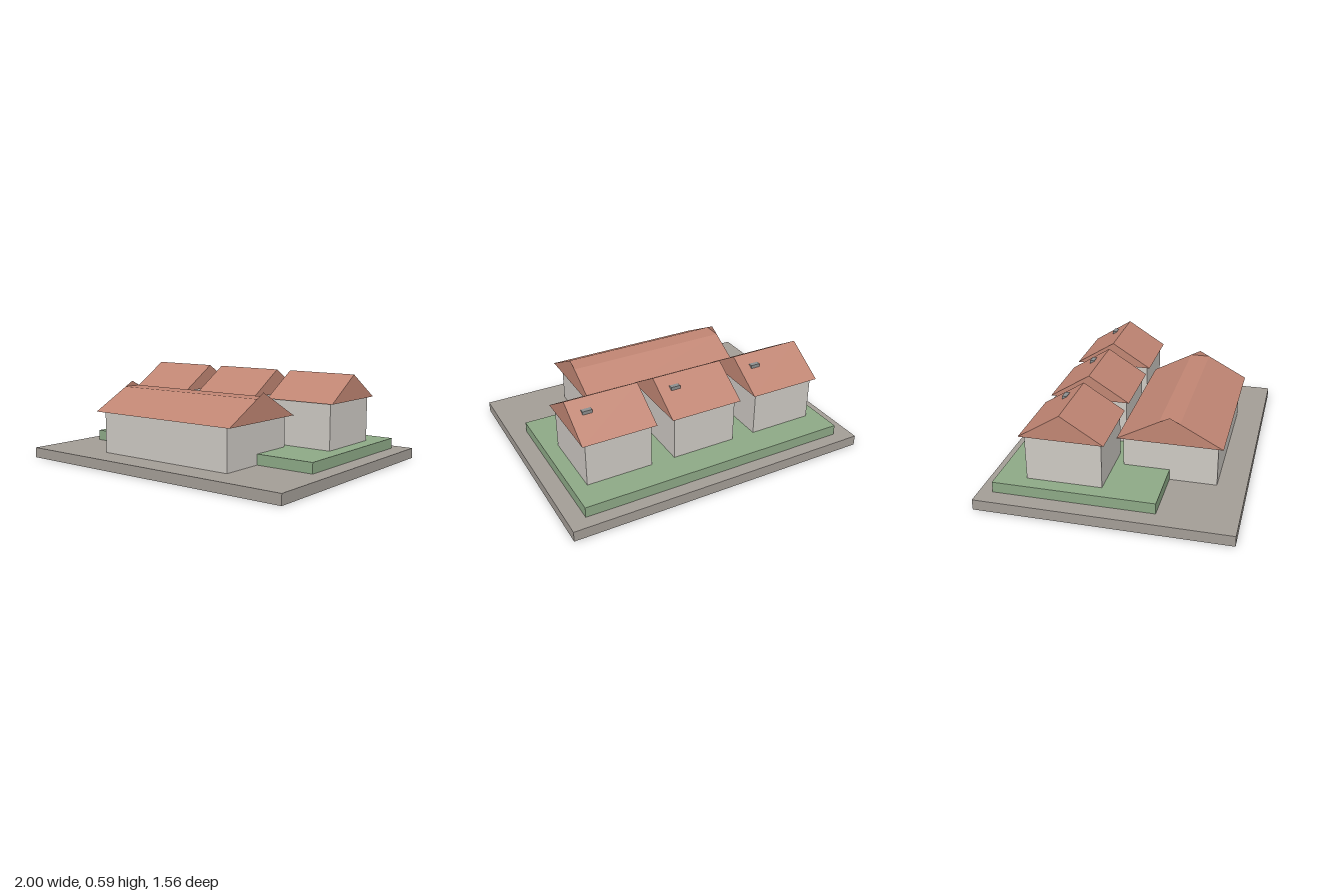
import * as THREE from 'three';

const mat = (name, color) => {
  const m = new THREE.MeshStandardMaterial({ color });
  m.name = name;
  return m;
};

export function createModel() {
  const model = new THREE.Group();
  model.name = 'houses';
  const paving = mat('paving grey', 0xa39d96);
  const grass = mat('lawn green', 0x8da986);
  const plaster = mat('plaster', 0xcdc9c3);
  const tile = mat('roof tile', 0xc08573);
  const stone = mat('chimney grey', 0x8c8e8e);
  const tileTwoSided = mat('gable tile', 0xc08573);
  tileTwoSided.side = THREE.DoubleSide;

  const add = (parent, name, geometry, material) => {
    const mesh = new THREE.Mesh(geometry, material);
    mesh.name = name;
    parent.add(mesh);
    return mesh;
  };

  // Box given by its limits on each axis
  const block = (parent, name, material, [x0, x1], [y0, y1], [z0, z1]) => {
    const g = new THREE.BoxGeometry(x1 - x0, y1 - y0, z1 - z0);
    g.translate((x0 + x1) / 2, (y0 + y1) / 2, (z0 + z1) / 2);
    return add(parent, name, g, material);
  };

  // Profile of (z, y) points
  const profile = (points) => new THREE.Shape(points.map(([z, y]) => new THREE.Vector2(z, y)));

  // Roof: profile extruded along x, centred on cx
  const roof = (parent, name, points, width, cx) => {
    const g = new THREE.ExtrudeGeometry(profile(points), { depth: width, bevelEnabled: false });
    g.translate(0, 0, -width / 2);
    g.rotateY(-Math.PI / 2);
    g.translate(cx, 0, 0);
    return add(parent, name, g, tile);
  };

  // Ground
  block(model, 'base', paving, [-1, 1], [0, 0.067], [-0.78, 0.78]);
  block(model, 'lawn', grass, [-0.89, 0.89], [0.06, 0.135], [-0.695, 0.305]);

  // Long front hall with a flat-topped roof
  const hall = new THREE.Group();
  hall.name = 'hall';
  model.add(hall);
  block(hall, 'hallWalls', plaster, [-0.5, 0.5], [0.06, 0.345], [0.015, 0.6]);
  roof(hall, 'hallRoof', [[-0.017, 0.337], [0.635, 0.337], [0.372, 0.477], [0.244, 0.477]], 1.09, 0);
  // Pointed gable tips standing above the flat top
  for (const side of [-1, 1]) {
    const tip = new THREE.ShapeGeometry(profile([[0.244, 0.477], [0.372, 0.477], [0.308, 0.511]]));
    tip.rotateY(-Math.PI / 2);
    tip.translate(side * 0.545, 0, 0);
    add(hall, 'gableTip', tip, tileTwoSided);
  }

  // Three houses in a row at the back
  for (const cx of [-0.583, 0, 0.583]) {
    const house = new THREE.Group();
    house.name = 'house';
    model.add(house);
    block(house, 'houseWalls', plaster, [cx - 0.213, cx + 0.213], [0.13, 0.435], [-0.508, -0.04]);
    roof(house, 'houseRoof', [[-0.537, 0.427], [-0.017, 0.427], [-0.278, 0.59]], 0.478, cx);
    block(house, 'chimney', stone, [cx + 0.1, cx + 0.162], [0.5, 0.551], [-0.374, -0.345]);
  }
  return model;
}
